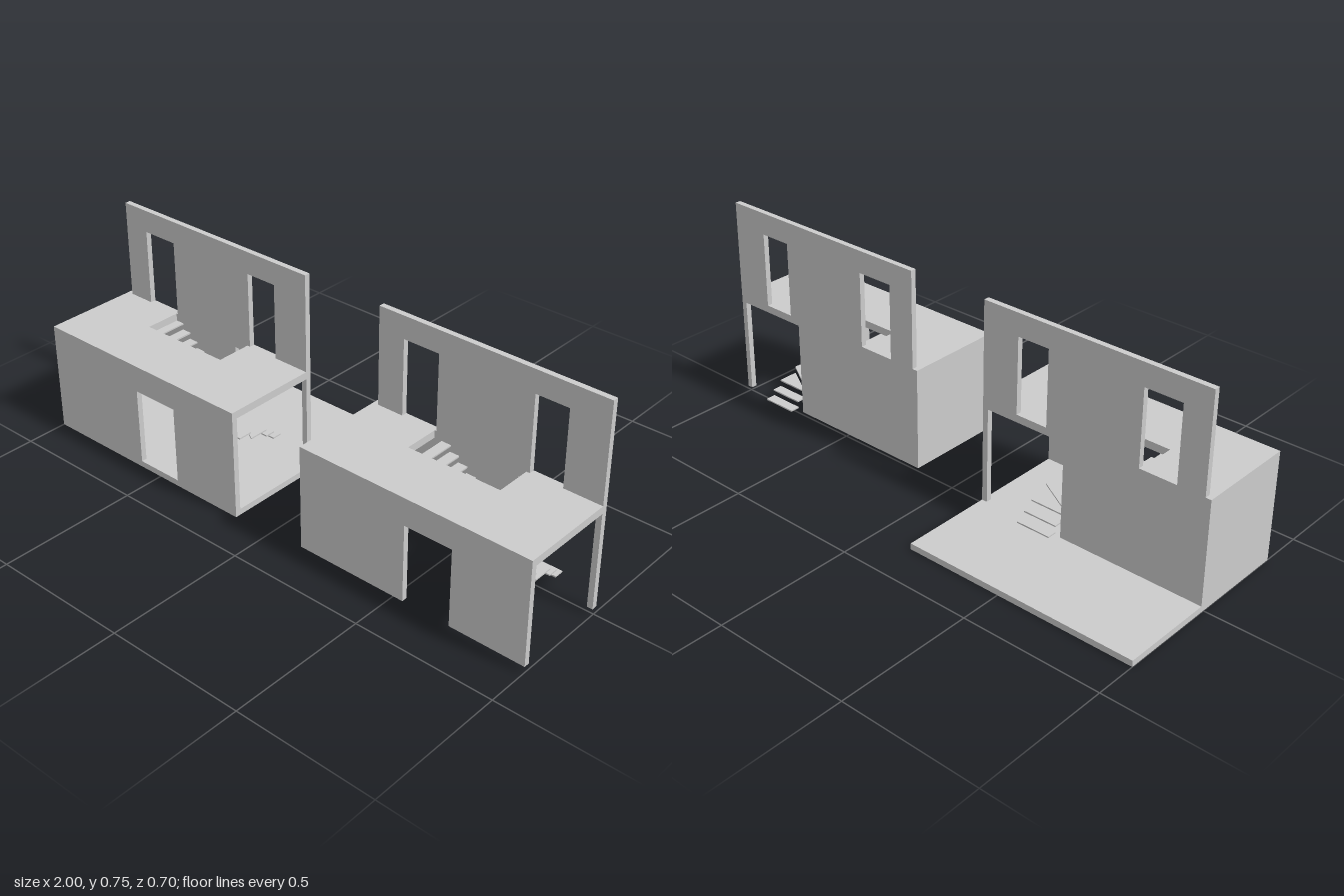
import * as THREE from 'three';

const material = new THREE.MeshStandardMaterial({ color: 0xcccccc, flatShading: true });

// Heights of floor top, ceiling underside, deck top and parapet top
const FLOOR = 0.022, CEILING = 0.367, DECK = 0.394, TOP = 0.745;
// Depths of the outer and inner faces of front and back walls
const FRONT = 0.35, FRONT_IN = 0.33, BACK_IN = 0.008, BACK = -0.012;
const WALL = 0.02, WIDTH = 0.857;

function add(group, name, geometry) {
  const mesh = new THREE.Mesh(geometry, material);
  mesh.name = name;
  group.add(mesh);
  return mesh;
}

// Box given by its minimum and maximum corners
function box(group, name, x0, x1, y0, y1, z0, z1) {
  const mesh = add(group, name, new THREE.BoxGeometry(x1 - x0, y1 - y0, z1 - z0));
  mesh.position.set((x0 + x1) / 2, (y0 + y1) / 2, (z0 + z1) / 2);
  return mesh;
}

const polygon = (points) => new THREE.Shape(points.map(([x, y]) => new THREE.Vector2(x, y)));

const extrude = (shape, depth) =>
  new THREE.ExtrudeGeometry(shape, { depth, bevelEnabled: false, curveSegments: 8 });

// Upright panel in the xy plane, from z0 to z1
function panel(group, name, shape, z0, z1) {
  add(group, name, extrude(shape, z1 - z0)).position.z = z0;
}

// Flat plate with an outline of [x, z] points, from y0 to y1
function plate(group, name, points, y0, y1) {
  const geometry = extrude(polygon(points.map(([x, z]) => [x, -z])), y1 - y0);
  geometry.rotateX(-Math.PI / 2);
  add(group, name, geometry).position.y = y0;
}

// Straight flight, quarter turn of winders, then two steps out the back
function createStairs(turnX) {
  const stairs = new THREE.Group();
  stairs.name = 'stairs';
  const run = 0.033, rise = 0.0247, thick = 0.005, span = 0.128;
  const level = (n) => 0.367 - rise * n;
  for (let n = 0; n < 9; n++) {
    const x = turnX - run * (9 - n);
    box(stairs, 'tread', x, x + run + 0.003, level(n) - thick, level(n), BACK_IN, BACK_IN + span);
  }
  const t = span * Math.tan(Math.PI / 6);
  const rim = [[0, span], [t, span], [span, span], [span, t], [span, 0]];
  [[0, 1], [1, 2, 3], [3, 4]].forEach((corners, i) => {
    const points = [[0, 0], ...corners.map((c) => rim[c])];
    plate(stairs, 'winderTread', points.map(([x, z]) => [turnX + x, BACK_IN + z]),
      level(9 + i) - thick, level(9 + i));
  });
  for (let i = 0; i < 2; i++) {
    const z = BACK_IN - run * i, y = level(12 + i);
    box(stairs, 'outerTread', turnX, turnX + span, y - thick, y, z - run - 0.003, z);
  }
  return stairs;
}

// Thin standing scale figure
function createFigure(x) {
  const figure = new THREE.Group();
  figure.name = 'figure';
  const half = [[0.006, 0.1], [0.01, 0], [0.024, 0], [0.022, 0.11], [0.026, 0.12],
    [0.032, 0.12], [0.03, 0.19], [0.008, 0.2]];
  const mirrored = half.map(([px, py]) => [-px, py]).reverse();
  panel(figure, 'figureBody', polygon([...half, ...mirrored]), -0.004, 0.004);
  const head = add(figure, 'figureHead', new THREE.SphereGeometry(1, 10, 8));
  head.scale.set(0.015, 0.021, 0.004);
  head.position.y = 0.217;
  figure.position.set(x, FLOOR, 0.083);
  return figure;
}

function createUnit(name, x0, turnX) {
  const unit = new THREE.Group();
  unit.name = name;
  const x1 = x0 + WIDTH, inner = x0 + WALL;

  // Front wall with doorway
  const d0 = x0 + 0.41, d1 = x0 + 0.585;
  panel(unit, 'frontWall', polygon([[x0, FLOOR], [d0, FLOOR], [d0, 0.298], [d1, 0.298],
    [d1, FLOOR], [x1, FLOOR], [x1, DECK], [x0, DECK]]), FRONT_IN, FRONT);

  // Side wall; the opposite end stays open
  box(unit, 'sideWall', x0, inner, FLOOR, DECK, BACK, FRONT_IN);

  // Tall back wall with wide lower opening, end post and two windows
  const o0 = turnX - 0.008, o1 = x1 - WALL;
  const back = polygon([[inner, FLOOR], [o0, FLOOR], [o0, CEILING], [o1, CEILING],
    [o1, FLOOR], [x1, FLOOR], [x1, TOP], [inner, TOP]]);
  for (const [a, b] of [[0.118, 0.253], [0.602, 0.72]]) {
    back.holes.push(new THREE.Path([[a, DECK], [a, 0.665], [b, 0.665], [b, DECK]]
      .map(([x, y]) => new THREE.Vector2(x0 + x, y))));
  }
  panel(unit, 'backWall', back, BACK, BACK_IN);

  // Deck with stairwell against the back wall
  const h0 = x0 + 0.247, h1 = x0 + 0.59, hz = 0.136;
  plate(unit, 'deck', [[inner, BACK_IN], [h0, BACK_IN], [h0, hz], [h1, hz], [h1, BACK_IN],
    [x1, BACK_IN], [x1, FRONT_IN], [inner, FRONT_IN]], CEILING, DECK);

  unit.add(createStairs(turnX), createFigure(x0 + 0.08));
  return unit;
}

export function createModel() {
  const model = new THREE.Group();
  model.name = 'houseSections';
  const rightUnit = createUnit('rightUnit', -1, -0.46);
  // Ground slab under one unit only
  box(rightUnit, 'groundSlab', -1, -1 + WIDTH, 0, FLOOR, -0.35, 0.35);
  model.add(rightUnit, createUnit('leftUnit', 1 - WIDTH, 0.715));
  return model;
}
